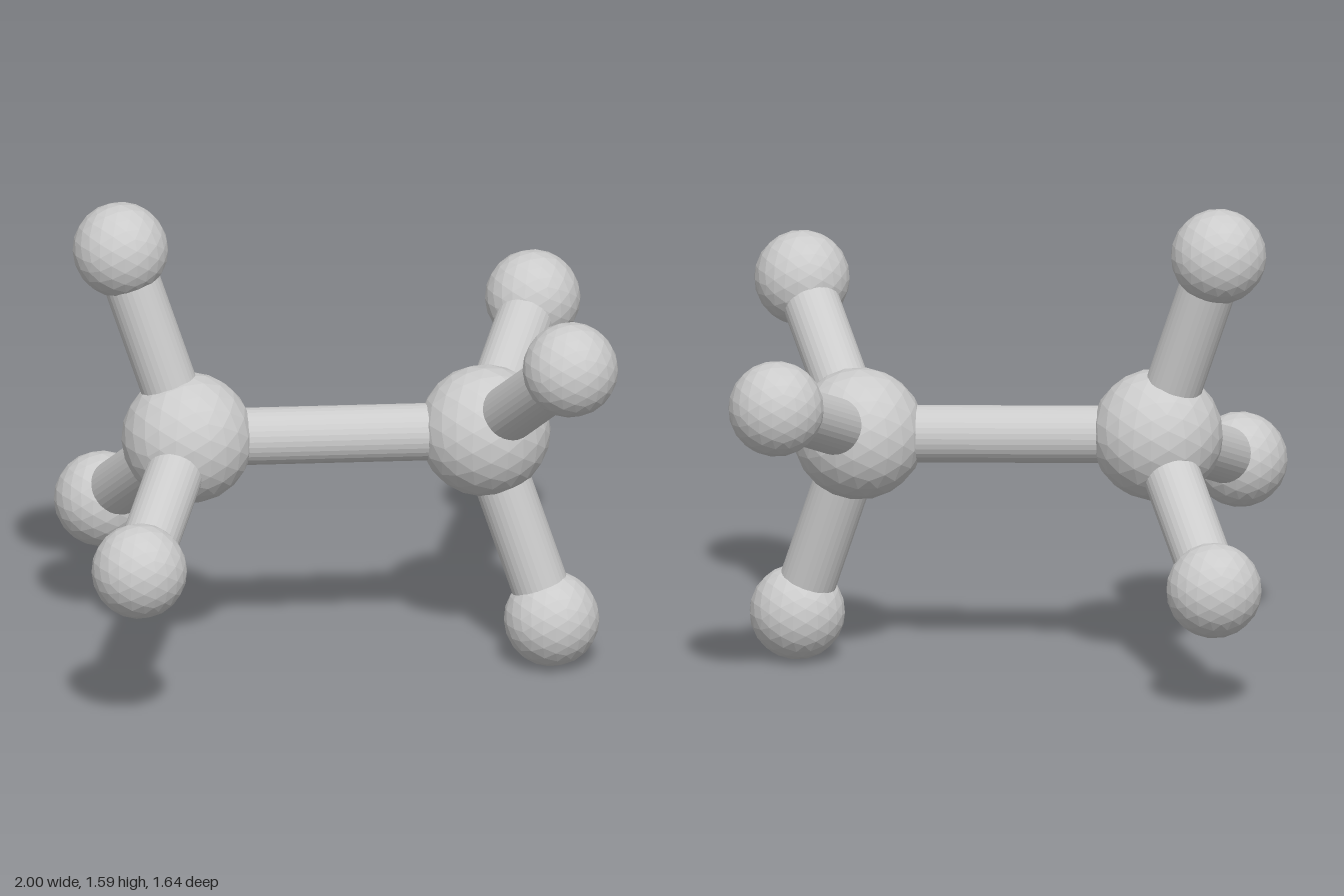
import * as THREE from 'three';

const material = new THREE.MeshStandardMaterial({ color: 0xcccccc, flatShading: true });

// Low-poly ball at a point
function ball(name, center, radius) {
  const mesh = new THREE.Mesh(new THREE.IcosahedronGeometry(radius, 3), material);
  mesh.name = name;
  mesh.position.copy(center);
  return mesh;
}

// Straight rod joining two points
function rod(name, from, to, radius = 0.094) {
  const dir = to.clone().sub(from);
  const mesh = new THREE.Mesh(new THREE.CylinderGeometry(radius, radius, dir.length(), 32), material);
  mesh.name = name;
  mesh.position.copy(from).add(to).multiplyScalar(0.5);
  mesh.quaternion.setFromUnitVectors(new THREE.Vector3(0, 1, 0), dir.normalize());
  return mesh;
}

export function createModel() {
  const model = new THREE.Group();
  model.name = 'ballAndStickModel';

  // Offsets from the midpoint; the other half is the point reflection
  const middle = new THREE.Vector3(0, 0.8, 0);
  const hubOffset = new THREE.Vector3(0.473, -0.008, 0.125);
  const tipOffsets = [
    new THREE.Vector3(0.651, -0.64, 0.273),
    new THREE.Vector3(0.564, 0.385, 0.665),
    new THREE.Vector3(0.842, 0.224, -0.387),
  ];
  const place = (offset, sign) => middle.clone().addScaledVector(offset, sign);

  // Central rod between the two large balls
  model.add(rod('centralRod', place(hubOffset, -1), place(hubOffset, 1)));

  // Each half: a large ball with three rods ending in small balls
  for (const [side, sign] of [['left', 1], ['right', -1]]) {
    const half = new THREE.Group();
    half.name = side + 'Half';
    const hub = place(hubOffset, sign);
    half.add(ball(side + 'LargeBall', hub, 0.217));
    tipOffsets.forEach((offset, i) => {
      const tip = place(offset, sign);
      half.add(rod(`${side}Rod${i + 1}`, hub, tip));
      half.add(ball(`${side}SmallBall${i + 1}`, tip, 0.157));
    });
    model.add(half);
  }
  return model;
}
